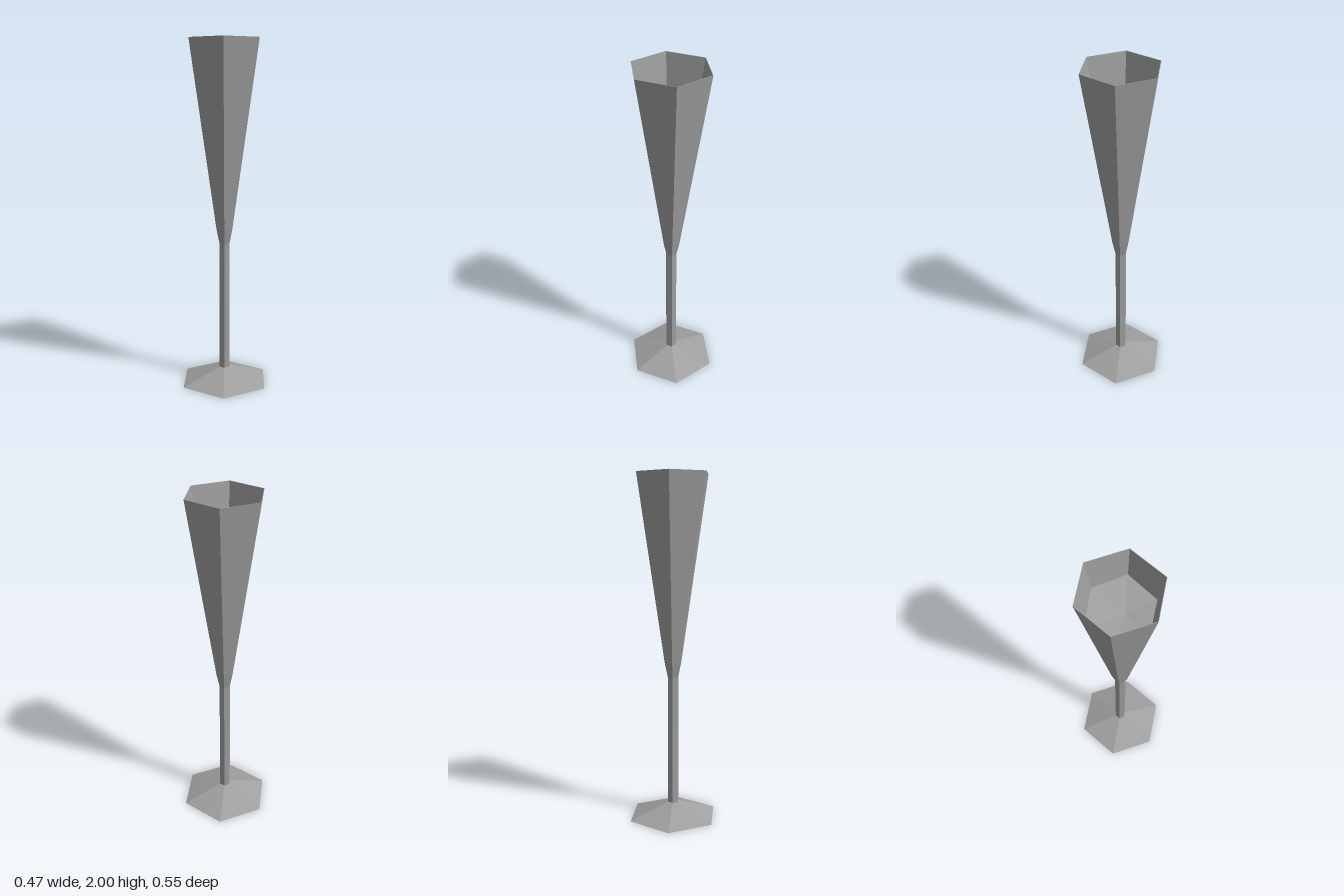
import * as THREE from 'three';

const SIDES = 6;

// Six-sided turned part; profile is [radius, height] running up the outside
function turned(name, profile, material) {
  const points = profile.map(([r, y]) => new THREE.Vector2(r, y));
  const mesh = new THREE.Mesh(new THREE.LatheGeometry(points, SIDES), material);
  mesh.name = name;
  return mesh;
}

export function createModel() {
  const glass = new THREE.Group();
  glass.name = 'fluteGlass';
  const grey = new THREE.MeshStandardMaterial({ color: 0xa0a0a0, flatShading: true });

  // Foot with a flat underside and a sharp edge
  glass.add(turned('foot', [[0, 0], [0.273, 0], [0.034, 0.083]], grey));

  // Slim stem
  glass.add(turned('stem', [[0.034, 0.083], [0.034, 0.845]], grey));

  // Thin-walled bowl: outside up to the rim, then down the inside
  glass.add(turned('bowl', [
    [0.034, 0.845], [0.053, 0.93], [0.221, 2], [0.218, 2], [0.05, 0.94], [0, 0.93],
  ], grey));

  // Drink surface, slightly tilted and dished, following the bowl's taper
  const drink = turned('drinkSurface', [[0.183, 0], [0, 0]], grey);
  const pos = drink.geometry.attributes.position;
  for (let i = 0; i < pos.count; i++) {
    const x = pos.getX(i), z = pos.getZ(i);
    if (Math.hypot(x, z) < 0.01) {
      pos.setXYZ(i, 0.015, 1.755, 0.015);
    } else {
      const shift = 0.025 * x - 0.016 * z;
      const k = 1 + shift / 0.183;
      pos.setXYZ(i, x * k, 1.778 + shift * 6.3, z * k);
    }
  }
  drink.geometry.computeVertexNormals();
  glass.add(drink);

  return glass;
}
